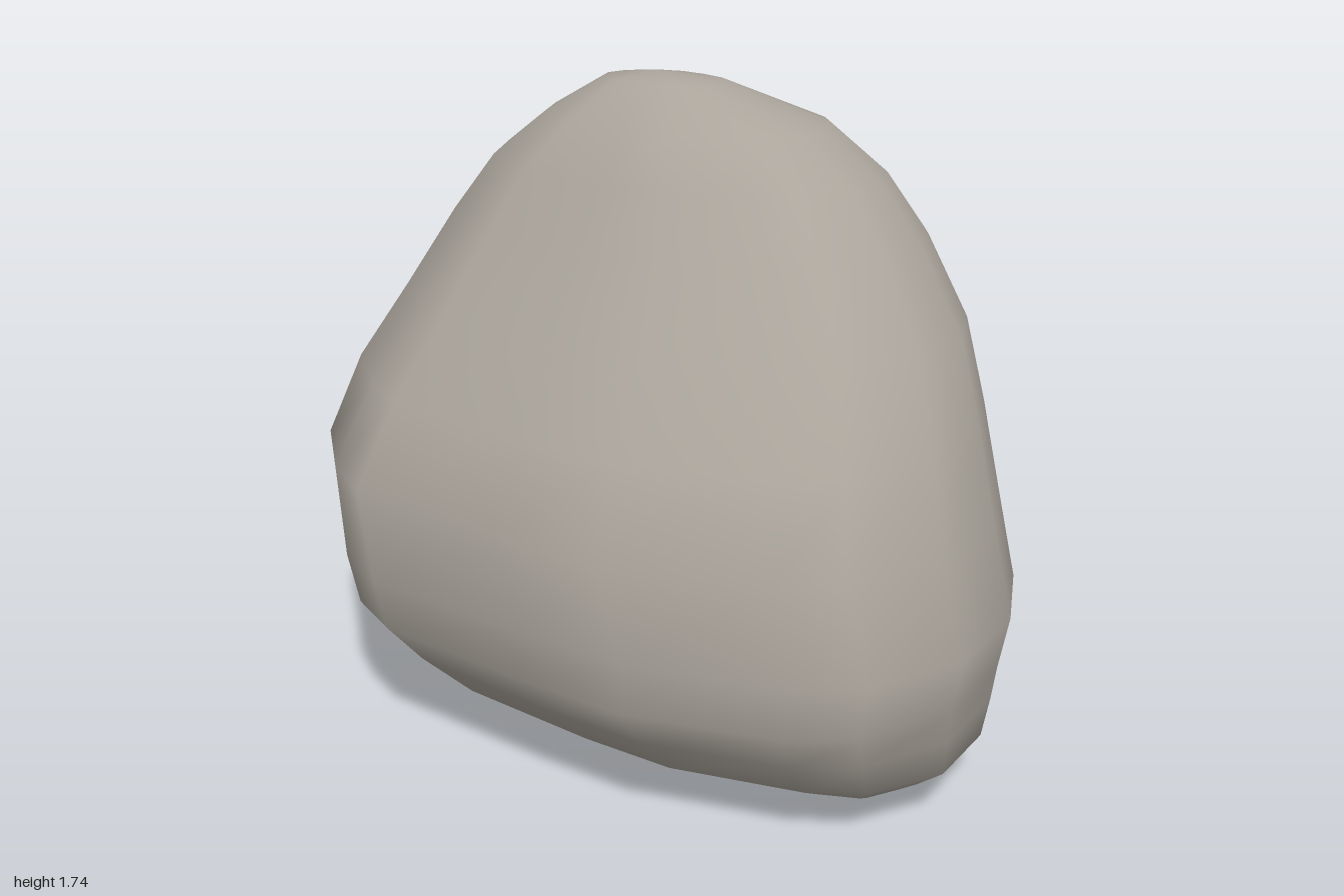
import * as THREE from 'three';
import { mergeVertices } from 'three/addons/utils/BufferGeometryUtils.js';

// Horizontal outline of the boulder in a unit box: [x, z]
const OUTLINE = [
  [-1, -0.17], [-0.87, -0.56], [-0.66, -0.82], [-0.4, -0.99], [0.02, -1], [0.43, -0.78],
  [0.85, -0.43], [0.95, -0.2], [1, 0.15], [0.95, 0.53], [0.78, 0.83], [0.61, 0.94],
  [0.2, 1], [-0.1, 0.93], [-0.57, 0.76], [-0.72, 0.6], [-0.91, 0.3],
];

// Levels from bottom to top: [y, xMin, xMax, zMin, zMax]
const LEVELS = [
  [0, 0.48, 0.48, 0.15, 0.15],
  [0.03, 0.1, 0.77, -0.12, 0.27],
  [0.08, -0.42, 0.85, -0.45, 0.43],
  [0.16, -0.7, 0.945, -0.54, 0.58],
  [0.27, -0.83, 0.965, -0.64, 0.67],
  [0.37, -0.91, 0.98, -0.67, 0.725],
  [0.5, -0.945, 1, -0.71, 0.725],
  [0.74, -1, 0.94, -0.73, 0.725],
  [0.95, -0.93, 0.875, -0.725, 0.605],
  [1.15, -0.81, 0.8, -0.72, 0.465],
  [1.35, -0.69, 0.67, -0.68, 0.315],
  [1.5, -0.575, 0.55, -0.6, 0.205],
  [1.62, -0.42, 0.39, -0.51, 0.11],
  [1.72, -0.24, 0.1, -0.31, -0.06],
  [1.735, -0.1, -0.1, -0.2, -0.2],
];

// Local bulges and dents: centre, push and radius
const BULGES = [
  { at: [-0.77, 0.42, -0.56], push: [-0.13, 0, -0.16], radius: 0.24 }, // knob on the back corner
  { at: [-0.78, 0.86, -0.5], push: [0.04, 0, 0.04], radius: 0.2 }, // dent above the knob
  { at: [-0.42, 0.1, -0.42], push: [-0.1, 0, -0.1], radius: 0.22 }, // foot below the knob
  { at: [-0.5, 1.35, -0.5], push: [-0.05, 0, -0.05], radius: 0.3 }, // back shoulder
  { at: [-0.65, 0.5, 0.48], push: [-0.035, 0, 0.03], radius: 0.25 }, // front cheek
  { at: [0.7, 0.06, 0.2], push: [0.02, 0, 0.08], radius: 0.2 }, // front toe
].map(({ at, push, radius }) => ({
  at: new THREE.Vector3(...at),
  push: new THREE.Vector3(...push),
  radius,
}));

function boulderGeometry() {
  const n = OUTLINE.length;
  const positions = [];
  const index = [];

  for (const [y, x0, x1, z0, z1] of LEVELS) {
    for (const [u, v] of OUTLINE) {
      const base = new THREE.Vector3(
        THREE.MathUtils.lerp(x0, x1, (u + 1) / 2),
        y,
        THREE.MathUtils.lerp(z0, z1, (v + 1) / 2),
      );
      const p = base.clone();
      for (const { at, push, radius } of BULGES) {
        const d = base.distanceTo(at) / radius;
        p.addScaledVector(push, Math.exp(-d * d));
      }
      positions.push(p.x, p.y, p.z);
    }
  }

  const last = LEVELS.length - 2;
  for (let r = 0; r <= last; r++) {
    for (let i = 0; i < n; i++) {
      const a = r * n + i;
      const b = r * n + (i + 1) % n;
      // The end levels are single points, so each needs one triangle only
      if (r > 0) index.push(a, a + n, b);
      if (r < last) index.push(b, a + n, b + n);
    }
  }

  let geometry = new THREE.BufferGeometry();
  geometry.setAttribute('position', new THREE.Float32BufferAttribute(positions, 3));
  geometry.setIndex(index);
  geometry = mergeVertices(geometry, 1e-4);
  geometry.computeVertexNormals();
  return geometry;
}

export function createModel() {
  const stone = new THREE.MeshStandardMaterial({ color: 0xaba59c });
  stone.name = 'stone';

  const boulder = new THREE.Mesh(boulderGeometry(), stone);
  boulder.name = 'boulder';

  const group = new THREE.Group();
  group.name = 'rock';
  group.add(boulder);
  return group;
}
